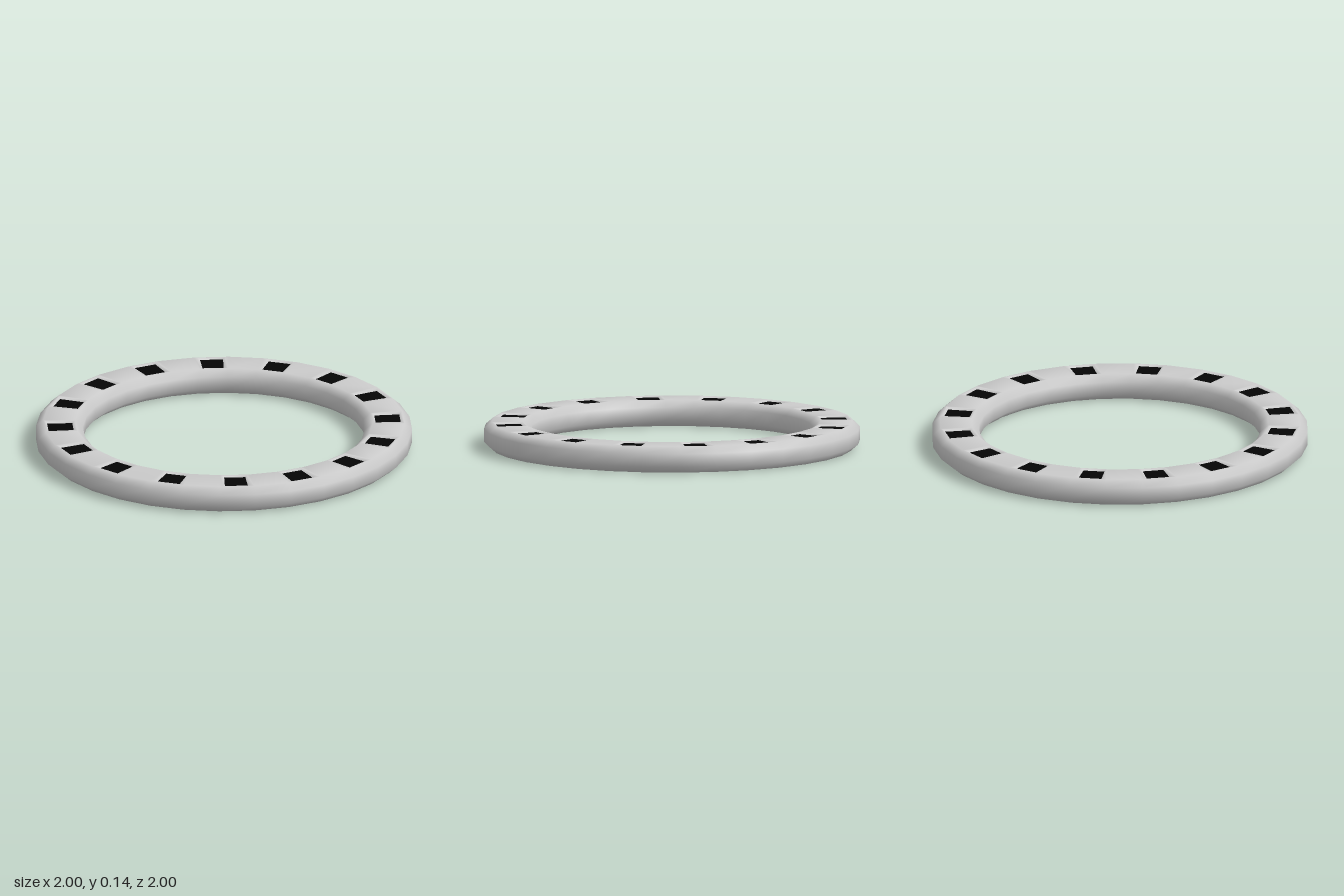
import * as THREE from 'three';

const SEGMENTS = 32;
const STEP = (Math.PI * 2) / SEGMENTS;
const DEG = Math.PI / 180;

// Chamfered cross-section [radius, height], from the inner top edge outwards
const SECTION = [
  [0.79, 0.14], [0.96, 0.14], [1, 0.105], [1, 0.035],
  [0.96, 0], [0.79, 0], [0.75, 0.035], [0.75, 0.105],
];

// Point on the ring; the angle runs clockwise from the back, seen from above
const point = (r, y, a) => [r * Math.sin(a), y, -r * Math.cos(a)];

// Corners of a panel outline: inner start, inner end, outer end, outer start
function panelCorners(mid, inner, outer, y) {
  const [r0, h0] = inner, [r1, h1] = outer;
  return [
    point(r0, y, mid - h0 * DEG), point(r0, y, mid + h0 * DEG),
    point(r1, y, mid + h1 * DEG), point(r1, y, mid - h1 * DEG),
  ];
}

function buildGeometry(positions, indices) {
  const geometry = new THREE.BufferGeometry();
  geometry.setAttribute('position', new THREE.Float32BufferAttribute(positions.flat(), 3));
  geometry.setIndex(indices);
  geometry.computeVertexNormals();
  return geometry;
}

const quad = (indices, a, b, c, d) => indices.push(a, b, c, a, c, d);

export function createModel() {
  const group = new THREE.Group();
  group.name = 'ring';
  const n = SECTION.length;
  const positions = [], indices = [];
  const tilePositions = [], tileIndices = [];

  for (let i = 0; i < SEGMENTS; i++) {
    for (const [r, y] of SECTION) positions.push(point(r, y, i * STEP));
  }

  // Joins two four-cornered outlines with a band of quads
  const band = (outer, inner) => {
    for (let k = 0; k < 4; k++) {
      const m = (k + 1) % 4;
      quad(indices, outer[k], outer[m], inner[m], inner[k]);
    }
  };
  const add = (list, corners) => corners.map((p) => list.push(p) - 1);

  for (let i = 0; i < SEGMENTS; i++) {
    const a = i * n, b = ((i + 1) % SEGMENTS) * n;
    for (let j = 0; j < n; j++) {
      const k = (j + 1) % n;
      const cell = [a + j, b + j, b + k, a + k];
      if (j > 0 || i % 2 === 0) {
        quad(indices, ...cell);
        continue;
      }
      // Every other top face carries a shallow recess with a dark tile
      const mid = (i + 0.5) * STEP;
      const lip = add(positions, panelCorners(mid, [0.797, 4.7], [0.95, 4.4], 0.14));
      const floor = panelCorners(mid, [0.806, 4.0], [0.94, 3.75], 0.132);
      band(cell, lip);
      band(lip, add(positions, floor));
      quad(tileIndices, ...add(tilePositions, floor));
    }
  }

  const body = new THREE.Mesh(
    buildGeometry(positions, indices),
    new THREE.MeshStandardMaterial({ color: 0xcccccc }),
  );
  body.name = 'ringBody';

  const tiles = new THREE.Mesh(
    buildGeometry(tilePositions, tileIndices),
    new THREE.MeshStandardMaterial({ color: 0x050505 }),
  );
  tiles.name = 'darkTiles';

  group.add(body, tiles);
  return group;
}
